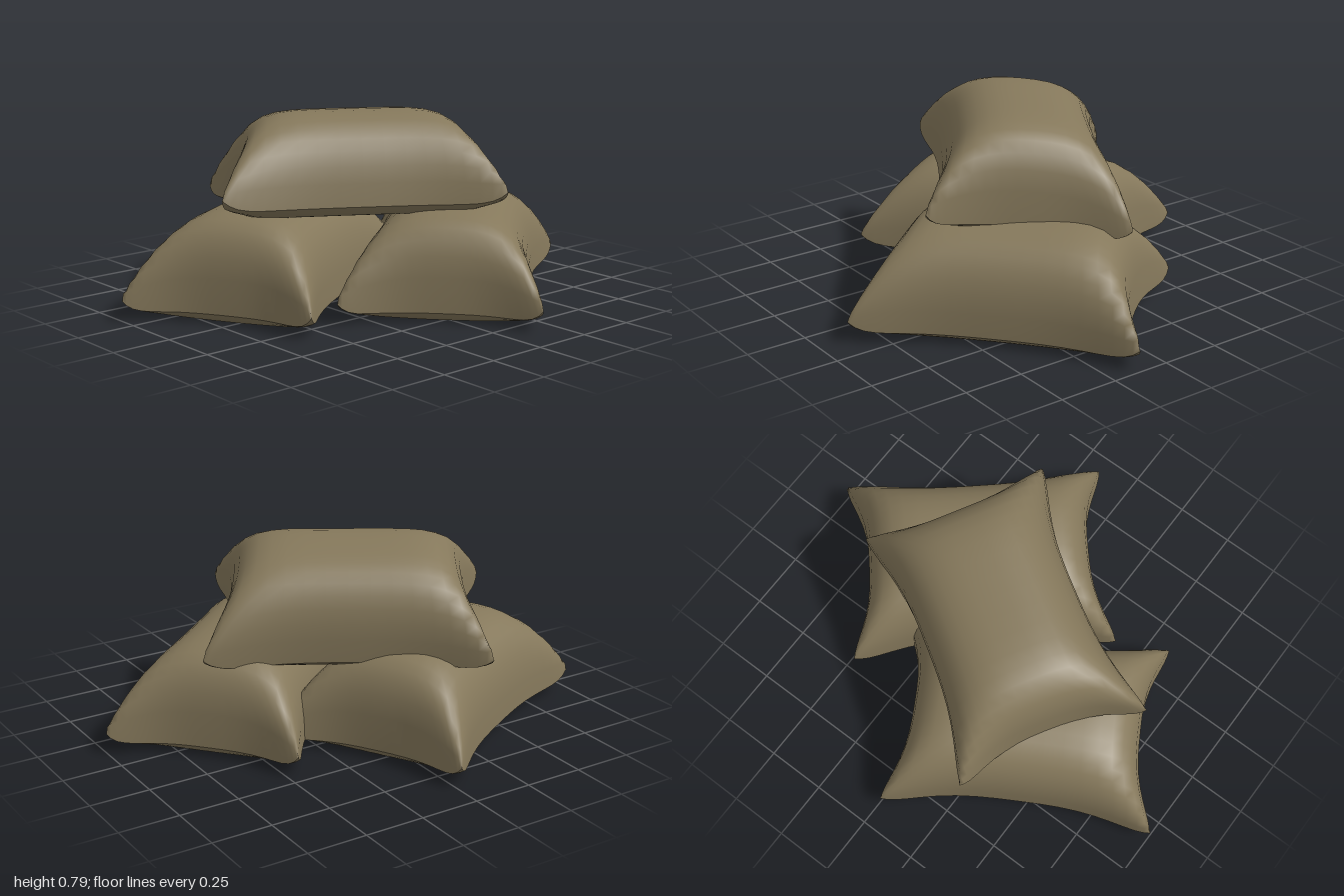
import * as THREE from 'three';

const HALF_LENGTH = 0.572, HALF_WIDTH = 0.405;
const fabric = new THREE.MeshStandardMaterial({ color: 0x85785b, roughness: 0.9 });

// One half of a stuffed bag: a grid whose edges pinch in between four pointed corners
function bagHalf(isTop) {
  const geo = new THREE.PlaneGeometry(2, 2, 20, 20);
  geo.rotateX(isTop ? -Math.PI / 2 : Math.PI / 2);
  const pos = geo.attributes.position;
  const ease = (s) => Math.sin((s * Math.PI) / 2); // finer steps towards the seam
  const pinch = (a) => (1 - a ** 3) ** 1.6; // fades out before the tips
  for (let i = 0; i < pos.count; i++) {
    const u = ease(pos.getX(i)), v = ease(pos.getZ(i));
    const au = Math.min(1, Math.abs(u)), av = Math.min(1, Math.abs(v));
    const x = HALF_LENGTH * u * (1 - 0.15 * pinch(av) * au);
    const z = HALF_WIDTH * v * (1 - 0.185 * pinch(au) * av);
    // full along the length, domed across the width
    const fu = 1 - au ** 5, fv = 1 - av ** 2.5;
    const corner = 0.05 * (au * av) ** 12; // tips of the seam lift slightly
    const y = isTop
      ? 0.04 + 0.385 * fu ** 0.35 * fv ** 0.4 + corner
      : 0.04 * (1 - Math.min(1, 2.2 * fu * fv)) + corner;
    pos.setXYZ(i, x, y, z);
  }
  geo.computeVertexNormals();
  return geo;
}

export function createModel() {
  const model = new THREE.Group();
  model.name = 'bagPile';
  const upper = bagHalf(true), lower = bagHalf(false);

  const addBag = (name, x, y, z, yaw, tilt = 0) => {
    const bag = new THREE.Group();
    bag.name = name;
    const top = new THREE.Mesh(upper, fabric);
    top.name = 'stuffedTop';
    const bottom = new THREE.Mesh(lower, fabric);
    bottom.name = 'flatBottom';
    bag.add(top, bottom);
    bag.position.set(x, y, z);
    bag.rotation.set(tilt, yaw, 0, 'YXZ');
    model.add(bag);
  };

  // Two bags on the ground, one leaning across them
  addBag('frontBag', 0.305, 0, 0.205, 0.717);
  addBag('backBag', -0.305, 0, -0.258, 0.515);
  addBag('topBag', -0.03, 0.365, -0.05, -0.559, -0.115);
  return model;
}
